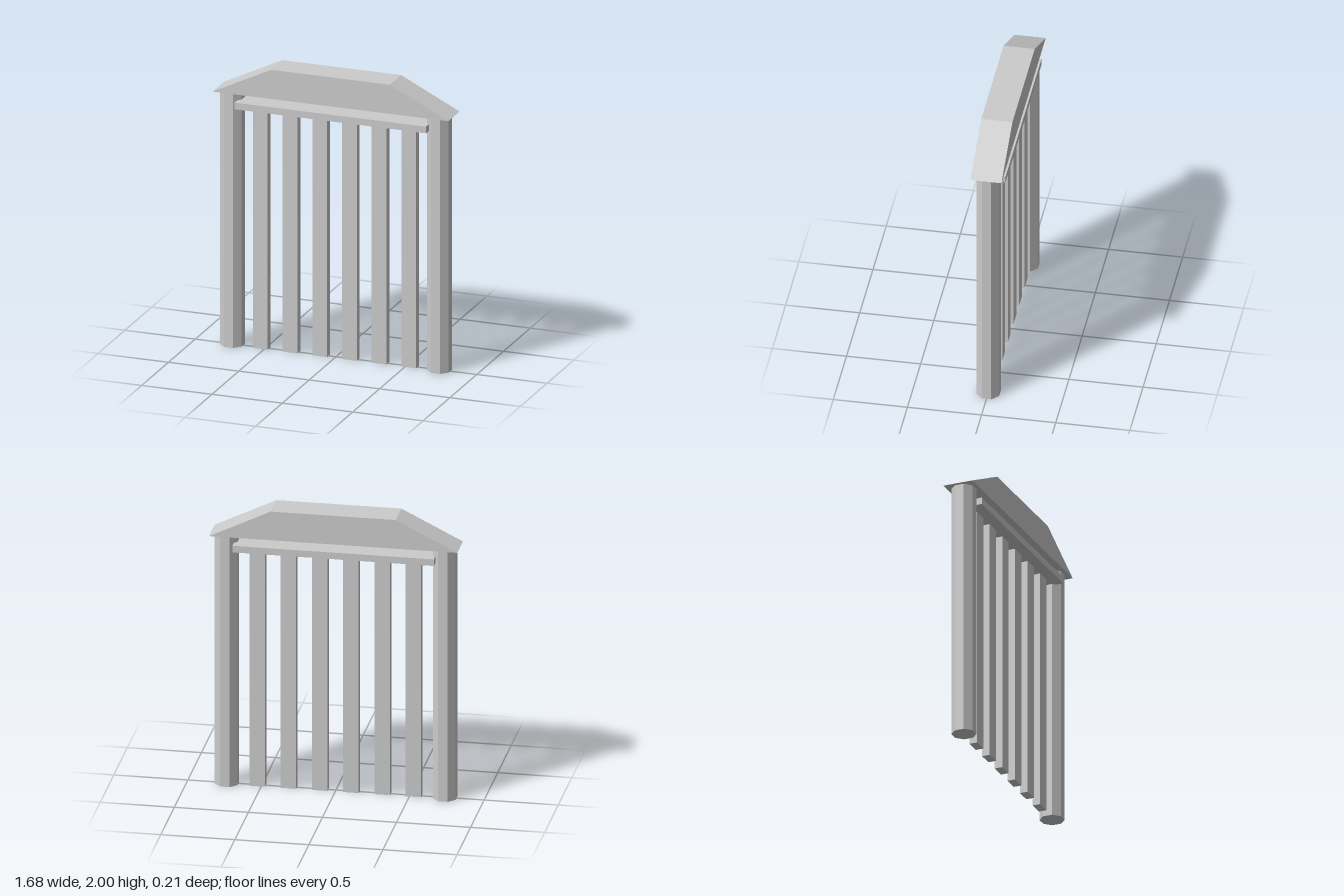
import * as THREE from 'three';

export function createModel() {
  const model = new THREE.Group();
  model.name = 'slattedGate';
  const material = new THREE.MeshStandardMaterial({ color: 0xcccccc, flatShading: true });

  const add = (name, geometry, x, y, z) => {
    const mesh = new THREE.Mesh(geometry, material);
    mesh.name = name;
    mesh.position.set(x, y, z);
    model.add(mesh);
  };

  const eaves = 1.795, railBottom = 1.69, depth = 0.21;

  // Octagonal posts, flats facing front and sides
  const postRadius = 0.077 / Math.cos(Math.PI / 8);
  const post = new THREE.CylinderGeometry(postRadius, postRadius, eaves, 8);
  post.rotateY(Math.PI / 8);
  add('leftPost', post, 0.736, eaves / 2, 0);
  add('rightPost', post, -0.736, eaves / 2, 0);

  // Row of six vertical slats
  const slat = new THREE.BoxGeometry(0.105, railBottom, 0.055);
  for (let i = 0; i < 6; i++) {
    add(`slat${i + 1}`, slat, (i - 2.5) * 0.211, railBottom / 2, 0);
  }

  // Rail along the slat tops
  add('topRail', new THREE.BoxGeometry(1.36, 0.047, depth), 0, railBottom + 0.0235, 0);

  // Trapezoid roof with sloping ends
  const profile = new THREE.Shape([
    new THREE.Vector2(-0.838, eaves),
    new THREE.Vector2(0.838, eaves),
    new THREE.Vector2(0.422, 2),
    new THREE.Vector2(-0.422, 2),
  ]);
  add('roof', new THREE.ExtrudeGeometry(profile, { depth, bevelEnabled: false }), 0, 0, -depth / 2);

  return model;
}
